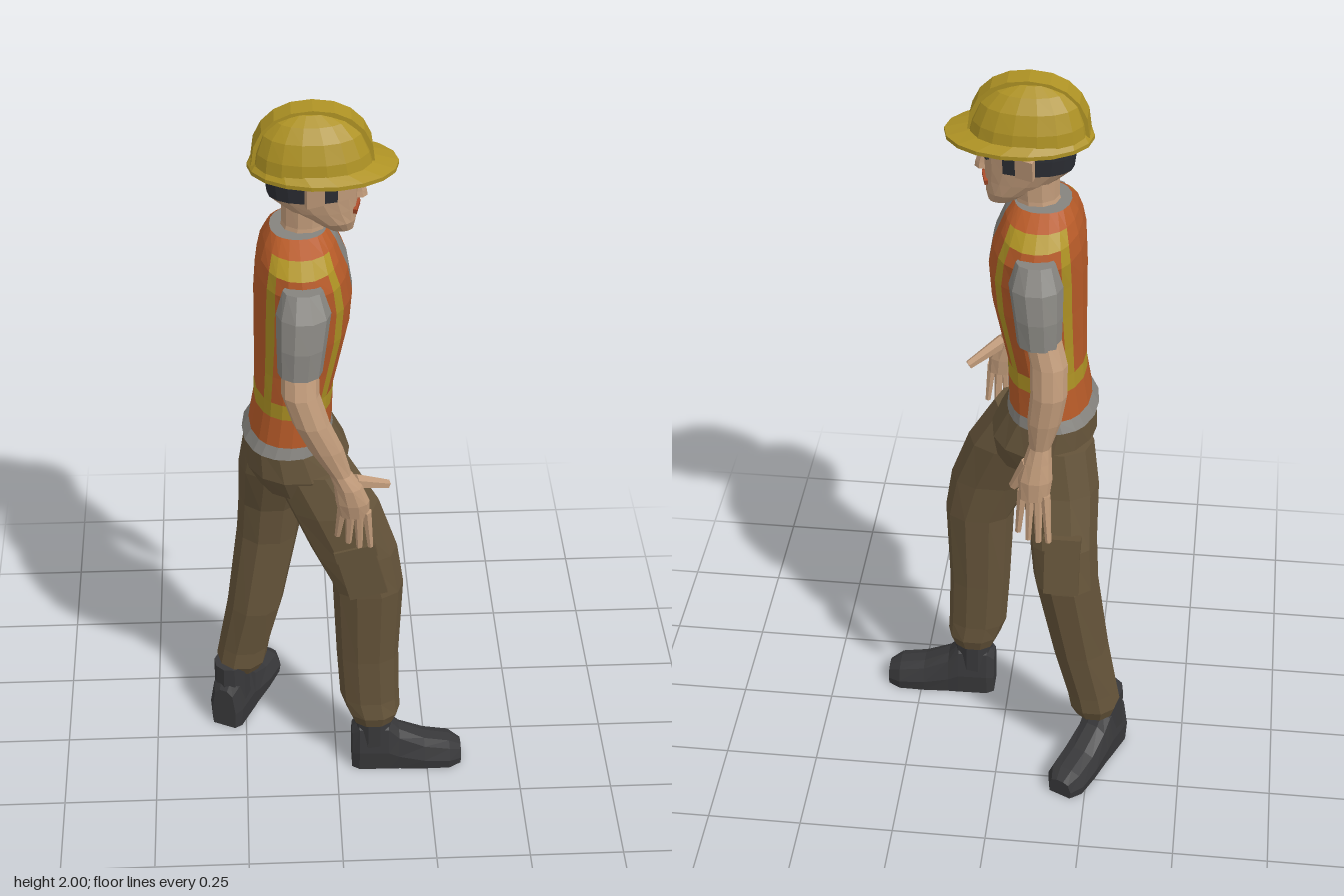
import * as THREE from 'three';

const mat = (name, color) => {
  const m = new THREE.MeshStandardMaterial({ color });
  m.name = name;
  return m;
};

export function createModel() {
  const yellow = mat('safety yellow', 0xae9224);
  const orange = mat('vest orange', 0xb65a28);
  const grey = mat('shirt grey', 0x85837e);
  const skin = mat('skin', 0xc29c7b);
  const brown = mat('trouser brown', 0x65543a);
  const black = mat('boot black', 0x38383a);
  const hair = mat('dark hair', 0x2b2d33);
  const red = mat('moustache red', 0xa84a28);
  const model = new THREE.Group();
  model.name = 'constructionWorker';

  const add = (name, geo, material, parent = model) => {
    const mesh = new THREE.Mesh(geo, material);
    mesh.name = name;
    parent.add(mesh);
    return mesh;
  };

  // Faceted skin through point loops; pick(row, column) gives the material index
  function loft(loops, pick = () => 0, materials = 1) {
    const buckets = Array.from({ length: materials }, () => []);
    const tri = (b, ...ps) => ps.forEach(p => buckets[b].push(p.x, p.y, p.z));
    const n = loops[0].length;
    for (let i = 0; i < loops.length - 1; i++) {
      for (let j = 0; j < n; j++) {
        const k = (j + 1) % n, lo = loops[i], hi = loops[i + 1], b = pick(i, j);
        tri(b, lo[j], hi[j], hi[k]);
        tri(b, lo[j], hi[k], lo[k]);
      }
    }
    [loops[0], loops[loops.length - 1]].forEach((loop, end) => {
      const c = loop.reduce((s, p) => s.add(p), new THREE.Vector3()).divideScalar(n);
      for (let j = 0; j < n; j++) {
        const k = (j + 1) % n;
        tri(0, c, loop[end ? k : j], loop[end ? j : k]);
      }
    });
    const geo = new THREE.BufferGeometry();
    geo.setAttribute('position', new THREE.Float32BufferAttribute(buckets.flat(), 3));
    let start = 0;
    if (materials > 1) buckets.forEach((b, i) => {
      geo.addGroup(start, b.length / 3, i);
      start += b.length / 3;
    });
    geo.computeVertexNormals();
    return geo;
  }

  // Level elliptical loop [x, y, z, rx, rz]; angle 0 points to the body's front (+x)
  const even = n => Array.from({ length: n }, (_, i) => (i * 360) / n);
  const power = (v, p) => Math.sign(v) * Math.abs(v) ** p;
  const loop = ([x, y, z, rx, rz], angles, p = 1) => angles.map(d => {
    const a = (d * Math.PI) / 180;
    return new THREE.Vector3(x + rx * power(Math.cos(a), p), y, z + rz * power(Math.sin(a), p));
  });
  const rings = (rows, n = 10, p = 1) => loft(rows.map(r => loop(r, even(n), p)));
  const box = (name, material, size, pos, rot = [0, 0, 0], parent = model) => {
    const m = add(name, new THREE.BoxGeometry(...size), material, parent);
    m.position.set(...pos);
    m.rotation.set(...rot);
  };

  // Torso: shirt and vest, with columns placed on the stripe edges
  const half = [10, 26, 40, 53, 74, 90, 106, 124, 138, 160];
  const cols = [0, ...half, 180, ...half.map(a => 360 - a).reverse()];
  const torsoRows = [
    [-0.122, 1.085, 0.015, 0.117, 0.158], [-0.115, 1.115, 0.015, 0.106, 0.148],
    [-0.107, 1.195, 0.015, 0.1, 0.142], [-0.105, 1.24, 0.017, 0.1, 0.143],
    [-0.095, 1.32, 0.018, 0.108, 0.15], [-0.084, 1.42, 0.018, 0.118, 0.165],
    [-0.08, 1.51, 0.018, 0.121, 0.178], [-0.083, 1.58, 0.018, 0.113, 0.191],
    [-0.087, 1.622, 0.02, 0.1, 0.178], [-0.088, 1.652, 0.018, 0.088, 0.132],
    [-0.09, 1.68, 0.018, 0.07, 0.08],
  ];
  // The vest opening drifts sideways towards the hem
  const torsoLoop = r => {
    const drift = Math.max(0, 1.5 - r[1]) * 28;
    return loop(r, cols.map(d => (d < 20 || d > 340 ? d - drift : d)), 0.9);
  };
  add('vestAndShirt', loft(torsoRows.map(torsoLoop), (i, j) => {
    const next = j + 1 < cols.length ? cols[j + 1] : 360;
    let a = (cols[j] + next) / 2;
    if (a > 180) a = 360 - a;
    if (i === 0 || a < 10) return 0;
    if (i === 2) return 2;
    if (i === 8 && a > 40 && a < 138) return 2;
    const stripe = (a > 40 && a < 53) || (a > 124 && a < 138);
    return stripe && i > 2 && i < 8 ? 2 : 1;
  }, 3), [grey, orange, yellow]);

  // Neck and head; hair covers the temples and the back of the skull
  add('neck', rings([[-0.085, 1.62, 0.018, 0.065, 0.06], [-0.075, 1.69, 0.018, 0.055, 0.05],
    [-0.07, 1.78, 0.018, 0.06, 0.052]]), skin);
  const headRows = [
    [0.012, 1.672, 0.02, 0.032, 0.03], [-0.005, 1.7, 0.02, 0.055, 0.05],
    [-0.035, 1.735, 0.02, 0.087, 0.06], [-0.055, 1.77, 0.02, 0.109, 0.068],
    [-0.056, 1.81, 0.02, 0.113, 0.071], [-0.056, 1.87, 0.02, 0.113, 0.071],
  ];
  add('head', loft(headRows.map(r => loop(r, even(18), 0.92)), (i, j) => {
    const a = Math.abs((j + 0.5) * 20 - 180);
    return i >= 3 && a < 120 ? 1 : 0;
  }, 2), [skin, hair]);
  add('nose', rings([[0.053, 1.755, 0.02, 0.024, 0.016], [0.053, 1.77, 0.02, 0.022, 0.013],
    [0.05, 1.815, 0.02, 0.01, 0.008]], 6), skin);
  for (const s of [1, -1]) {
    box('ear', skin, [0.045, 0.058, 0.016], [-0.052, 1.797, 0.02 + s * 0.076], [s * 0.2, s * 0.3, 0]);
    box('eye', hair, [0.008, 0.014, 0.03], [0.046, 1.807, 0.02 + s * 0.034], [0, -s * 0.42, 0]);
    box('eyebrow', hair, [0.008, 0.008, 0.036], [0.047, 1.826, 0.02 + s * 0.033], [0, -s * 0.42, 0]);
    box('moustacheHalf', red, [0.009, 0.014, 0.036], [0.05, 1.733, 0.02 + s * 0.016], [s * 0.3, -s * 0.28, 0]);
  }

  // Hard hat: brim, shell and raised centre rib
  add('hatBrim', rings([[-0.055, 1.845, 0.027, 0.12, 0.085], [-0.03, 1.842, 0.027, 0.18, 0.128],
    [-0.03, 1.852, 0.027, 0.18, 0.128], [-0.052, 1.868, 0.027, 0.145, 0.108]], 18), yellow);
  add('hatShell', rings([[-0.052, 1.855, 0.027, 0.146, 0.11], [-0.054, 1.895, 0.027, 0.138, 0.105],
    [-0.056, 1.94, 0.027, 0.12, 0.088], [-0.058, 1.972, 0.027, 0.088, 0.062],
    [-0.06, 1.99, 0.027, 0.045, 0.034]], 18, 0.9), yellow);
  const arch = Array.from({ length: 11 }, (_, i) => {
    const a = (i * Math.PI) / 10;
    return new THREE.Vector2(-0.054 + 0.146 * power(Math.cos(a), 0.9), 1.86 + 0.14 * Math.abs(Math.sin(a)) ** 0.9);
  });
  const ribGeo = new THREE.ExtrudeGeometry(new THREE.Shape(arch), { depth: 0.06, bevelEnabled: false });
  add('hatCentreRib', ribGeo.translate(0, 0, -0.003), yellow);

  // Arms: sleeve, bare arm with palm, fingers and thumb
  const finger = (name, from, to, r) => {
    const a = new THREE.Vector3(...from), b = new THREE.Vector3(...to);
    const geo = new THREE.CylinderGeometry(r * 0.6, r, a.distanceTo(b), 6).toNonIndexed();
    geo.computeVertexNormals();
    const m = add(name, geo, skin);
    m.position.lerpVectors(a, b, 0.5);
    m.quaternion.setFromUnitVectors(new THREE.Vector3(0, 1, 0), b.sub(a).normalize());
  };
  const arm = (side, sleeve, rows, tipY, tipZ, thumb) => {
    add(side + 'Sleeve', rings(sleeve), grey);
    add(side + 'Arm', rings(rows), skin);
    const [x, y, z] = rows[0];
    for (let i = 0; i < 4; i++) {
      const o = (i - 1.5) * 0.02;
      finger(side + 'Finger', [x + o, y + 0.015, z + o * 0.3],
        [x + o * 1.35, tipY + Math.abs(i - 1.7) * 0.012, tipZ + o * 0.7], 0.013);
    }
    finger(side + 'Thumb', ...thumb, 0.02);
  };
  arm('right', [
    [-0.095, 1.41, 0.258, 0.054, 0.048], [-0.09, 1.48, 0.243, 0.06, 0.055],
    [-0.084, 1.55, 0.216, 0.066, 0.06], [-0.085, 1.605, 0.202, 0.048, 0.034],
  ], [
    [0.037, 0.985, 0.268, 0.038, 0.023], [0.032, 1.03, 0.272, 0.042, 0.03], [0.02, 1.08, 0.274, 0.035, 0.032],
    [0, 1.12, 0.273, 0.028, 0.03], [-0.035, 1.2, 0.28, 0.043, 0.036], [-0.07, 1.28, 0.284, 0.045, 0.04],
    [-0.095, 1.36, 0.276, 0.046, 0.042], [-0.095, 1.43, 0.257, 0.045, 0.04],
  ], 0.87, 0.25, [[0.035, 1.085, 0.264], [0.122, 1.035, 0.212]]);
  arm('left', [
    [-0.105, 1.41, -0.212, 0.054, 0.046], [-0.1, 1.48, -0.198, 0.06, 0.054],
    [-0.092, 1.55, -0.175, 0.066, 0.058], [-0.09, 1.605, -0.162, 0.048, 0.034],
  ], [
    [-0.1, 0.975, -0.259, 0.038, 0.024], [-0.102, 1.03, -0.252, 0.043, 0.032], [-0.107, 1.08, -0.242, 0.035, 0.031],
    [-0.112, 1.12, -0.234, 0.028, 0.03], [-0.122, 1.2, -0.24, 0.042, 0.036], [-0.132, 1.28, -0.24, 0.045, 0.04],
    [-0.13, 1.36, -0.224, 0.046, 0.042], [-0.112, 1.43, -0.208, 0.045, 0.04],
  ], 0.84, -0.27, [[-0.085, 1.07, -0.242], [-0.045, 0.985, -0.23]]);

  // Trousers: hips, striding legs and thigh pockets
  add('trouserHips', rings([[-0.085, 0.9, 0.01, 0.06, 0.08], [-0.09, 0.95, 0.012, 0.115, 0.145],
    [-0.1, 1.01, 0.014, 0.136, 0.162], [-0.12, 1.095, 0.015, 0.112, 0.15]], 14, 0.9), brown);
  add('rightTrouserLeg', rings([
    [0.1, 0.165, 0.11, 0.058, 0.054], [0.1, 0.2, 0.11, 0.073, 0.066], [0.09, 0.25, 0.108, 0.08, 0.061],
    [0.083, 0.4, 0.108, 0.083, 0.063], [0.082, 0.64, 0.113, 0.093, 0.076], [0.045, 0.76, 0.11, 0.112, 0.08],
    [-0.01, 0.9, 0.096, 0.118, 0.092], [-0.07, 1.02, 0.088, 0.108, 0.084],
  ], 10, 0.9), brown);
  add('leftTrouserLeg', rings([
    [-0.26, 0.165, -0.13, 0.055, 0.062], [-0.257, 0.2, -0.128, 0.07, 0.079], [-0.248, 0.25, -0.13, 0.07, 0.078],
    [-0.215, 0.4, -0.13, 0.076, 0.09], [-0.175, 0.64, -0.147, 0.085, 0.095], [-0.165, 0.76, -0.133, 0.088, 0.092],
    [-0.148, 0.9, -0.085, 0.103, 0.09], [-0.128, 1.02, -0.06, 0.106, 0.086],
  ], 10, 0.9), brown);
  box('rightThighPocket', brown, [0.1, 0.15, 0.024], [0.062, 0.725, 0.178], [0.02, 0, 0.25]);
  box('rightPocketFlap', brown, [0.108, 0.035, 0.03], [0.045, 0.795, 0.178], [0.02, 0, 0.25]);
  box('leftThighPocket', brown, [0.09, 0.15, 0.024], [-0.17, 0.725, -0.224], [0.16, 0, 0]);
  box('leftPocketFlap', brown, [0.098, 0.035, 0.03], [-0.168, 0.795, -0.212], [0.16, 0, 0]);

  // Boots: flat-soled sections from heel to toe, plus an ankle shaft
  const sole = [[0.92, 0], [1, 0.4], [0.75, 0.88], [0.3, 1], [-0.3, 1], [-0.75, 0.88], [-1, 0.4], [-0.92, 0]];
  const bootRows = [[0, 0.13, 0.036], [0.02, 0.155, 0.05], [0.1, 0.155, 0.052], [0.13, 0.118, 0.052],
    [0.2, 0.083, 0.056], [0.27, 0.07, 0.055], [0.303, 0.05, 0.034]];
  const boot = (name, x, z, turn) => {
    const g = new THREE.Group();
    g.name = name;
    g.position.set(x, 0, z);
    g.rotation.y = turn;
    add('bootFoot', loft(bootRows.map(([bx, h, w]) => sole.map(([u, v]) => new THREE.Vector3(bx, v * h, u * w)))), black, g);
    add('bootShaft', rings([[0.06, 0.08, 0, 0.055, 0.05], [0.06, 0.2, 0, 0.052, 0.048]]), black, g);
    model.add(g);
  };
  boot('rightBoot', 0.042, 0.107, 0);
  boot('leftBoot', -0.312, -0.042, 1.13);

  return model;
}
